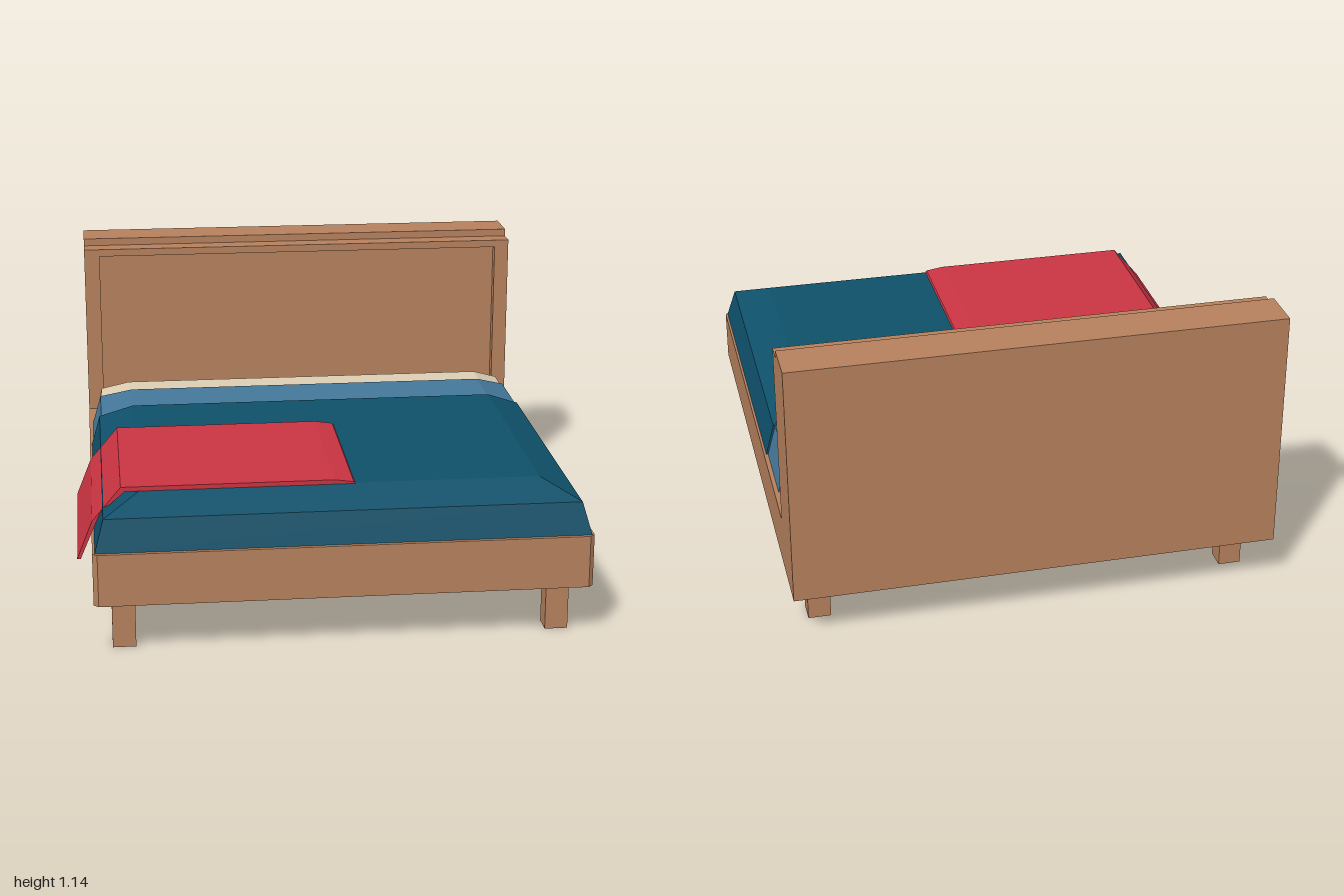
import * as THREE from 'three';

const mat = (name, color, side = THREE.FrontSide) => {
  const m = new THREE.MeshStandardMaterial({ color, side, flatShading: true });
  m.name = name;
  return m;
};

// Centre line and outer edges of the bed across x
const CX = 0.025, LEFT = -0.895, RIGHT = 0.945;

// Bevelled cover: three rings (base, shoulder, top), each [halfWidth, y, frontZ, backZ]
function coverGeometry(rings) {
  const end = (k) => [
    ...rings.map((r) => [CX - r[0], r[1], r[k]]),
    ...rings.slice().reverse().map((r) => [CX + r[0], r[1], r[k]]),
  ];
  const f = end(2), b = end(3), pos = [];
  const quad = (p, q, r, s) => pos.push(...p, ...q, ...r, ...p, ...r, ...s);
  for (let i = 0; i < 6; i++) {
    const j = (i + 1) % 6;
    quad(f[i], f[j], b[j], b[i]);
  }
  for (let i = 0; i < 2; i++) {
    quad(f[i], f[5 - i], f[4 - i], f[i + 1]);
    quad(b[5 - i], b[i], b[i + 1], b[4 - i]);
  }
  const g = new THREE.BufferGeometry();
  g.setAttribute('position', new THREE.Float32BufferAttribute(pos, 3));
  g.computeVertexNormals();
  return g;
}

const polygon = (pts) => new THREE.Shape(pts.map(([x, y]) => new THREE.Vector2(x, y)));
const extrude = (pts, depth) =>
  new THREE.ExtrudeGeometry(polygon(pts), { depth, bevelEnabled: false });

export function createModel() {
  const bed = new THREE.Group();
  bed.name = 'bed';
  const wood = mat('wood', 0xb5805c);
  const cream = mat('cream linen', 0xdccdb2);
  const blue = mat('blue sheet', 0x447799);
  const teal = mat('teal blanket', 0x0e5069);
  const red = mat('red throw', 0xc93441, THREE.DoubleSide);

  const add = (name, geometry, material) => {
    const m = new THREE.Mesh(geometry, material);
    m.name = name;
    bed.add(m);
    return m;
  };
  const box = (name, x0, x1, y0, y1, z0, z1) =>
    add(name, new THREE.BoxGeometry(x1 - x0, y1 - y0, z1 - z0), wood)
      .position.set((x0 + x1) / 2, (y0 + y1) / 2, (z0 + z1) / 2);

  // Base with small chamfers on the front corners
  const c = 0.018;
  const base = extrude([
    [LEFT, 1], [LEFT, -1 + c], [LEFT + c, -1],
    [RIGHT - c, -1], [RIGHT, -1 + c], [RIGHT, 1],
  ], 0.2);
  base.rotateX(-Math.PI / 2).translate(0, 0.2, 0);
  add('bedBase', base, wood);

  // Legs
  for (const x of [-0.787, 0.83])
    for (const z of [-0.79, 0.87])
      box('leg', x - 0.043, x + 0.043, 0, 0.2, z - 0.04, z + 0.04);

  // Headboard: tall back, lower front step and a rim around the sunken panel
  box('headboardBack', LEFT, RIGHT, 0.4, 1.14, -1, -0.83);
  box('headboardPanel', LEFT, RIGHT, 0.4, 1.11, -0.83, -0.79);
  const rim = extrude([
    [LEFT, 0.4], [-0.83, 0.4], [-0.83, 1.08], [0.885, 1.08],
    [0.885, 0.4], [RIGHT, 0.4], [RIGHT, 1.11], [LEFT, 1.11],
  ], 0.04);
  rim.translate(0, 0, -0.79);
  add('headboardRim', rim, wood);

  // Mattress and the covers wrapped over it
  add('mattress', coverGeometry([
    [0.885, 0.4, 0.92, -0.705], [0.865, 0.51, 0.89, -0.685], [0.748, 0.568, 0.78, -0.58],
  ]), cream);
  add('foldedSheet', coverGeometry([
    [0.904, 0.4, 0.95, -0.56], [0.87, 0.517, 0.92, -0.55], [0.738, 0.575, 0.8, -0.445],
  ]), blue);
  add('blanket', coverGeometry([
    [0.911, 0.4, 0.985, -0.27], [0.877, 0.52, 0.955, -0.262], [0.74, 0.581, 0.83, -0.2],
  ]), teal);

  // Throw draped over the right edge
  const drape = extrude([
    [-0.95, 0.325], [-0.937, 0.325], [-0.862, 0.5], [-0.77, 0.58],
    [0.076, 0.58], [0.07, 0.587], [0, 0.597], [-0.785, 0.597], [-0.892, 0.47],
  ], 0.7);
  drape.translate(0, 0, 0.135);
  add('throwBlanket', drape, red);

  return bed;
}
